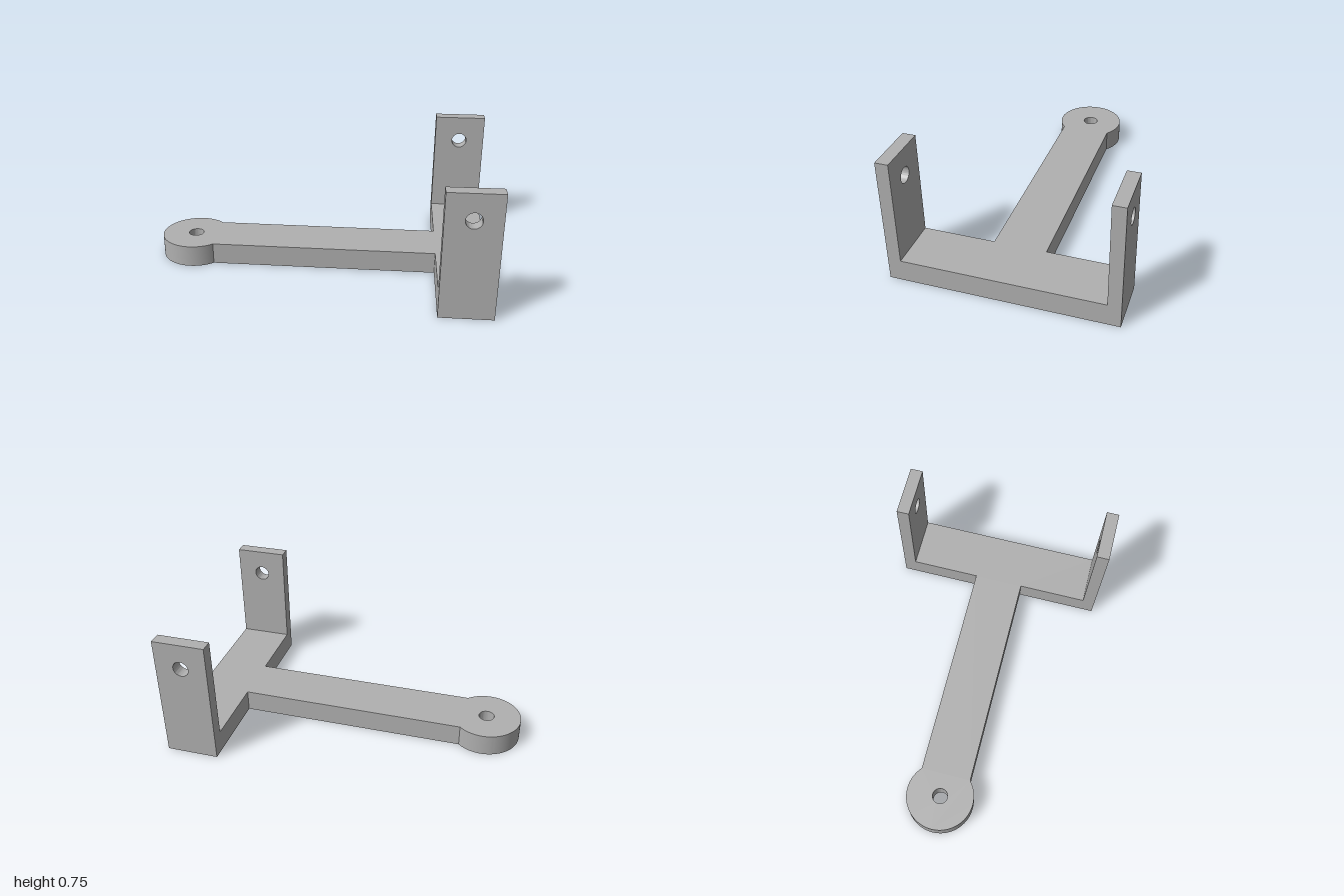
import * as THREE from 'three';
import { toCreasedNormals } from 'three/addons/utils/BufferGeometryUtils.js';

const BASE_H = 0.13, TOP = 0.745;
const X_IN = 0.69, X_OUT = 1;
const Z_OUT = 0.65, WALL = 0.075;
const ARM_HALF = 0.153, EYE_X = -0.795, EYE_R = 0.205, HOLE_R = 0.046;

function addHole(shape, x, y) {
  const hole = new THREE.Path();
  hole.absarc(x, y, HOLE_R, 0, Math.PI * 2, true);
  shape.holes.push(hole);
}

function extrude(shape, depth) {
  const geometry = new THREE.ExtrudeGeometry(shape, { depth, bevelEnabled: false, curveSegments: 48 });
  return toCreasedNormals(geometry, Math.PI / 6);
}

export function createModel() {
  const group = new THREE.Group();
  group.name = 'forkBracket';
  const grey = new THREE.MeshStandardMaterial({ color: 0xb0b0b0 });
  grey.name = 'grey';

  // T-shaped base: crossbar, arm and round drilled eye in one outline
  const zIn = Z_OUT - WALL;
  const a = Math.asin(ARM_HALF / EYE_R);
  const outline = new THREE.Shape();
  outline.moveTo(X_IN, -ARM_HALF);
  outline.lineTo(X_IN, -zIn);
  outline.lineTo(X_OUT, -zIn);
  outline.lineTo(X_OUT, zIn);
  outline.lineTo(X_IN, zIn);
  outline.lineTo(X_IN, ARM_HALF);
  outline.absarc(EYE_X, 0, EYE_R, a, Math.PI * 2 - a, false);
  outline.closePath();
  addHole(outline, EYE_X, 0);
  const base = new THREE.Mesh(extrude(outline, BASE_H).rotateX(-Math.PI / 2), grey);
  base.name = 'base';
  group.add(base);

  // Drilled upright at each end of the crossbar
  const plate = new THREE.Shape();
  plate.moveTo(X_IN, 0);
  plate.lineTo(X_OUT, 0);
  plate.lineTo(X_OUT, TOP);
  plate.lineTo(X_IN, TOP);
  plate.closePath();
  addHole(plate, (X_IN + X_OUT) / 2, 0.59);
  const plateGeometry = extrude(plate, WALL);
  for (const [name, z] of [['frontUpright', zIn], ['backUpright', -Z_OUT]]) {
    const upright = new THREE.Mesh(plateGeometry, grey);
    upright.name = name;
    upright.position.z = z;
    group.add(upright);
  }
  return group;
}
